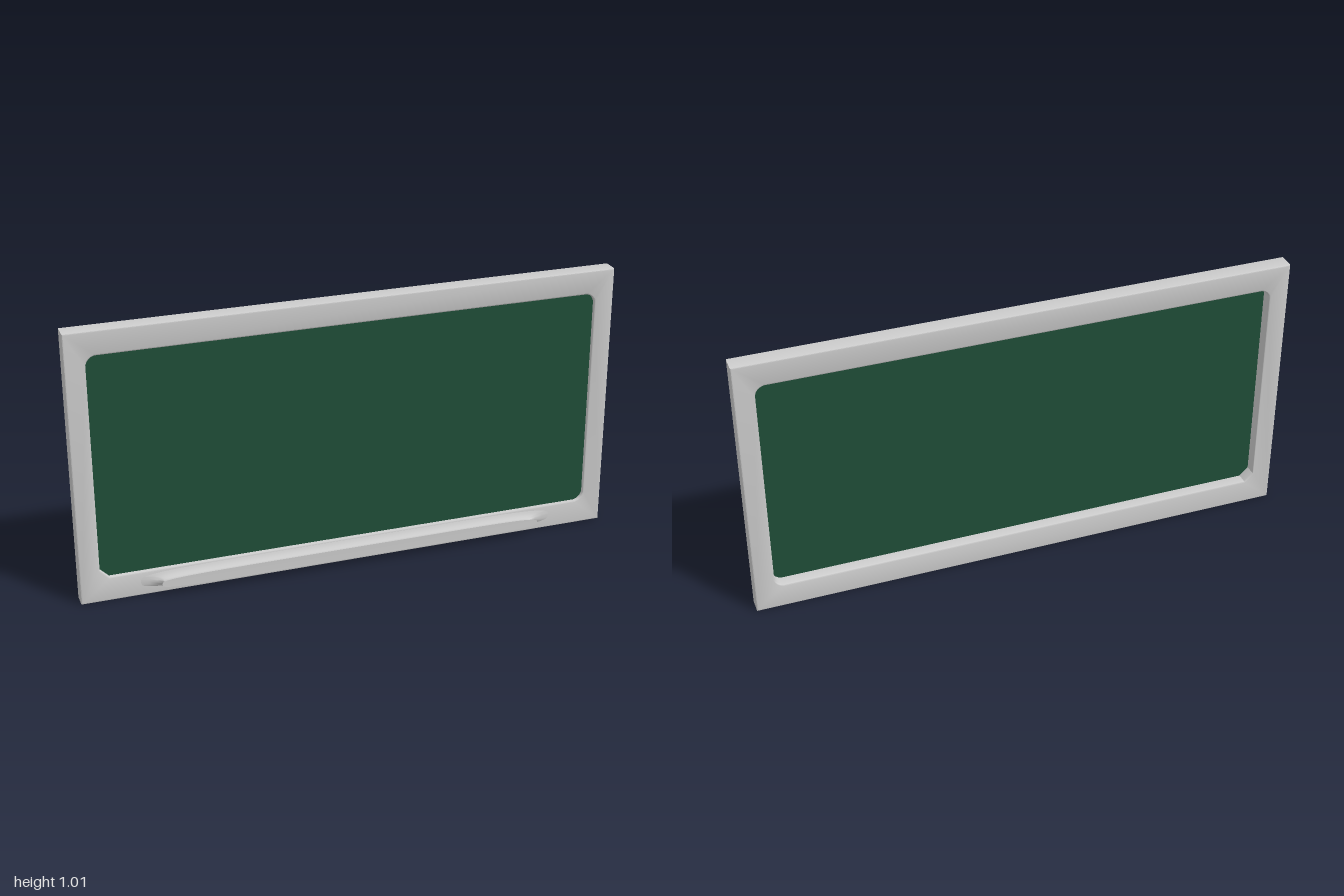
import * as THREE from 'three';
import { toCreasedNormals } from 'three/addons/utils/BufferGeometryUtils.js';

const W = 2, H = 1.01, BACK = -0.055, FRONT = 0.01;

// Frame: bevelled rectangle with a chamfer-cornered opening
function frameGeometry() {
  const shape = new THREE.Shape([[-1, 0], [1, 0], [1, H], [-1, H]]
    .map(([x, y]) => new THREE.Vector2(x * W / 2, y)));
  const x = 0.928, lo = 0.092, hi = 0.922, c = 0.032;
  const hole = new THREE.Path();
  hole.moveTo(-x + c, lo);
  hole.lineTo(-x, lo + c);
  hole.lineTo(-x, hi - c);
  hole.quadraticCurveTo(-x + 0.006, hi - 0.006, -x + c, hi);
  hole.lineTo(x - c, hi);
  hole.quadraticCurveTo(x - 0.006, hi - 0.006, x, hi - c);
  hole.lineTo(x, lo + c);
  hole.quadraticCurveTo(x - 0.006, lo + 0.006, x - c, lo);
  hole.closePath();
  shape.holes.push(hole);
  const bevel = 0.005;
  const geo = new THREE.ExtrudeGeometry(shape, {
    depth: FRONT - BACK - 2 * bevel, bevelEnabled: true, bevelThickness: bevel,
    bevelSize: bevel, bevelOffset: -bevel, bevelSegments: 3, curveSegments: 4,
  });
  geo.translate(0, 0, BACK + bevel);
  return toCreasedNormals(geo, 0.7);
}

// Chalk ledge: long rings lofted from the flared root, through the neck, to the lip
function ledgeGeometry() {
  const rings = [ // z, half length, bottom, top
    [0.009, 0.80, 0.018, 0.088], [0.012, 0.76, 0.021, 0.081], [0.018, 0.73, 0.028, 0.071],
    [0.026, 0.713, 0.032, 0.065], [0.036, 0.708, 0.034, 0.064], [0.046, 0.712, 0.033, 0.067],
    [0.052, 0.718, 0.032, 0.073], [0.055, 0.72, 0.033, 0.075], [0.055, 0.71, 0.036, 0.072],
  ];
  const N = 48, pos = [], idx = [];
  const power = (v, p) => Math.sign(v) * Math.pow(Math.abs(v), p);
  for (const [z, half, lo, hi] of rings) {
    for (let i = 0; i < N; i++) {
      const a = i / N * Math.PI * 2;
      pos.push(half * power(Math.cos(a), 0.3),
        (lo + hi) / 2 + (hi - lo) / 2 * power(Math.sin(a), 0.55), z);
    }
  }
  for (let r = 0; r < rings.length - 1; r++) {
    for (let i = 0; i < N; i++) {
      const a = r * N + i, b = r * N + (i + 1) % N;
      idx.push(a, b, b + N, a, b + N, a + N);
    }
  }
  // Front cap
  const last = (rings.length - 1) * N, centre = pos.length / 3;
  pos.push(0, 0.054, 0.054);
  for (let i = 0; i < N; i++) idx.push(last + i, last + (i + 1) % N, centre);
  const geo = new THREE.BufferGeometry();
  geo.setAttribute('position', new THREE.Float32BufferAttribute(pos, 3));
  geo.setIndex(idx);
  return toCreasedNormals(geo, 0.8);
}

export function createModel() {
  const group = new THREE.Group();
  group.name = 'chalkboard';
  const grey = new THREE.MeshStandardMaterial({ color: 0xcccccc });
  const green = new THREE.MeshStandardMaterial({ color: 0x1f4d37 });
  const add = (name, geo, mat) => {
    const mesh = new THREE.Mesh(geo, mat);
    mesh.name = name;
    group.add(mesh);
    return mesh;
  };

  add('frame', frameGeometry(), grey);
  add('chalkLedge', ledgeGeometry(), grey);

  // Writing panel, set just behind the front of the frame
  add('writingPanel', new THREE.BoxGeometry(1.88, 0.85, 0.008), green)
    .position.set(0, 0.507, -0.008);

  return group;
}
